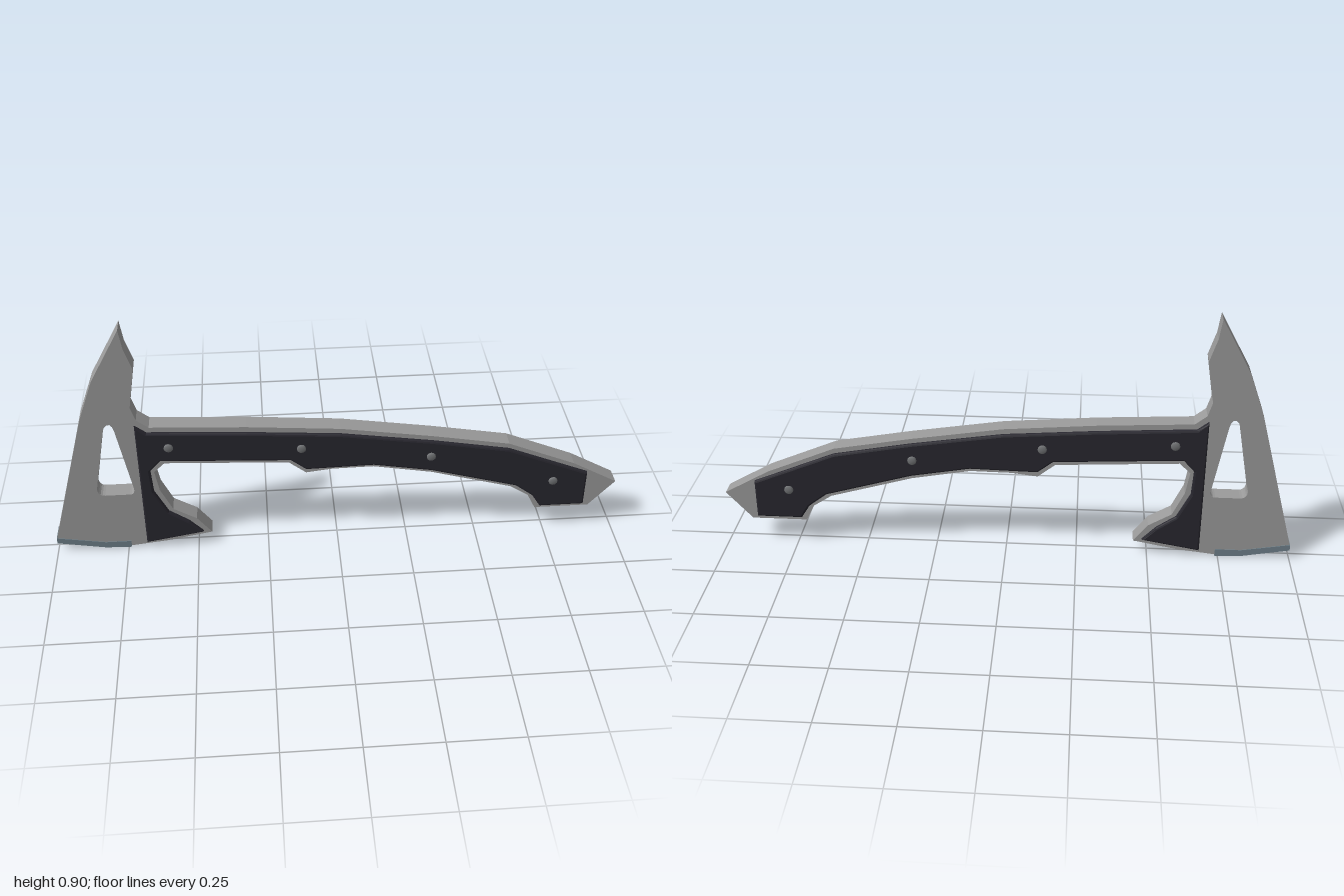
import * as THREE from 'three';

const mat = (name, color) => {
  const m = new THREE.MeshStandardMaterial({ color });
  m.name = name;
  return m;
};
const pts = (list) => list.map(([x, y]) => new THREE.Vector2(x, y));

// Flat plate centred on z = 0
function plate(name, shape, thickness, material) {
  const geo = new THREE.ExtrudeGeometry(shape, { depth: thickness, bevelEnabled: false, curveSegments: 5 });
  geo.translate(0, 0, -thickness / 2);
  const mesh = new THREE.Mesh(geo, material);
  mesh.name = name;
  return mesh;
}

export function createModel() {
  const steel = mat('steel', 0x9a9a9a);
  const grip = mat('dark grip', 0x28272f);
  const rivetSteel = mat('rivet grey', 0x707274);
  const edgeSteel = mat('blue grey edge', 0x6e7f89);
  const axe = new THREE.Group();
  axe.name = 'hatchet';

  // One-piece steel head and handle core
  const body = new THREE.Shape(pts([
    [-0.70, 0.9], [-0.805, 0.71], [-0.86, 0.56], [-0.998, 0.057], [-0.998, 0.036], [-0.83, 0.008],
    [-0.74, 0.005], [-0.61, 0.02], [-0.45, 0.05], [-0.50, 0.115], [-0.58, 0.163], [-0.62, 0.25],
    [-0.633, 0.33], [-0.595, 0.366], [-0.17, 0.345], [-0.11, 0.297], [-0.02, 0.308], [0.125, 0.31],
    [0.33, 0.273], [0.62, 0.19], [0.685, 0.147], [0.715, 0.088], [0.91, 0.088], [1.0, 0.19],
    [0.84, 0.28], [0.60, 0.38], [0.33, 0.428], [0.01, 0.477], [-0.31, 0.502], [-0.635, 0.518],
    [-0.675, 0.55], [-0.69, 0.60], [-0.665, 0.75], [-0.69, 0.83],
  ]));

  // Rounded wedge-shaped window in the head
  const hole = new THREE.Path();
  hole.moveTo(-0.835, 0.265);
  hole.quadraticCurveTo(-0.833, 0.237, -0.81, 0.237);
  hole.lineTo(-0.725, 0.237);
  hole.quadraticCurveTo(-0.705, 0.237, -0.708, 0.262);
  hole.lineTo(-0.75, 0.505);
  hole.bezierCurveTo(-0.755, 0.55, -0.782, 0.545, -0.79, 0.505);
  hole.closePath();
  body.holes.push(hole);
  axe.add(plate('headAndTang', body, 0.062, steel));

  // Cutting edge strip, slightly proud of the blade
  const edge = new THREE.Shape(pts([
    [-1.0, 0.056], [-1.0, 0.034], [-0.83, 0.003], [-0.74, 0.0], [-0.74, 0.027], [-0.83, 0.027],
  ]));
  axe.add(plate('cuttingEdge', edge, 0.067, edgeSteel));

  // Bevelled grip scales, sunk a little into the steel
  const scaleShape = new THREE.Shape(pts([
    [-0.683, 0.53], [-0.683, 0.024], [-0.48, 0.06], [-0.527, 0.11], [-0.595, 0.158], [-0.64, 0.25],
    [-0.645, 0.34], [-0.607, 0.382], [-0.163, 0.36], [-0.11, 0.318], [0.125, 0.323], [0.33, 0.287],
    [0.635, 0.20], [0.70, 0.15], [0.73, 0.102], [0.89, 0.102], [0.89, 0.243], [0.60, 0.362],
    [0.33, 0.411], [0.01, 0.459], [-0.31, 0.482], [-0.645, 0.50],
  ]));
  const scaleGeo = new THREE.ExtrudeGeometry(scaleShape, {
    depth: 0.008, bevelThickness: 0.007, bevelSize: 0.007, bevelOffset: -0.007, bevelSegments: 2,
  });
  scaleGeo.translate(0, 0, -0.004);

  // Domed rivets along each scale
  const rivetGeo = new THREE.LatheGeometry(pts([[0.016, 0], [0.016, 0.018], [0.012, 0.023], [0, 0.023]]), 12);
  rivetGeo.rotateX(Math.PI / 2);
  const rivetSpots = [[-0.575, 0.44], [-0.125, 0.411], [0.325, 0.351], [0.767, 0.217]];

  for (const [side, s] of [['front', 1], ['back', -1]]) {
    const scale = new THREE.Mesh(scaleGeo, grip);
    scale.name = side + 'GripScale';
    scale.position.z = s * 0.033;
    axe.add(scale);
    rivetSpots.forEach(([x, y], i) => {
      const rivet = new THREE.Mesh(rivetGeo, rivetSteel);
      rivet.name = side + 'Rivet' + (i + 1);
      rivet.position.set(x, y, s * 0.03);
      if (s < 0) rivet.rotation.y = Math.PI;
      axe.add(rivet);
    });
  }
  return axe;
}
